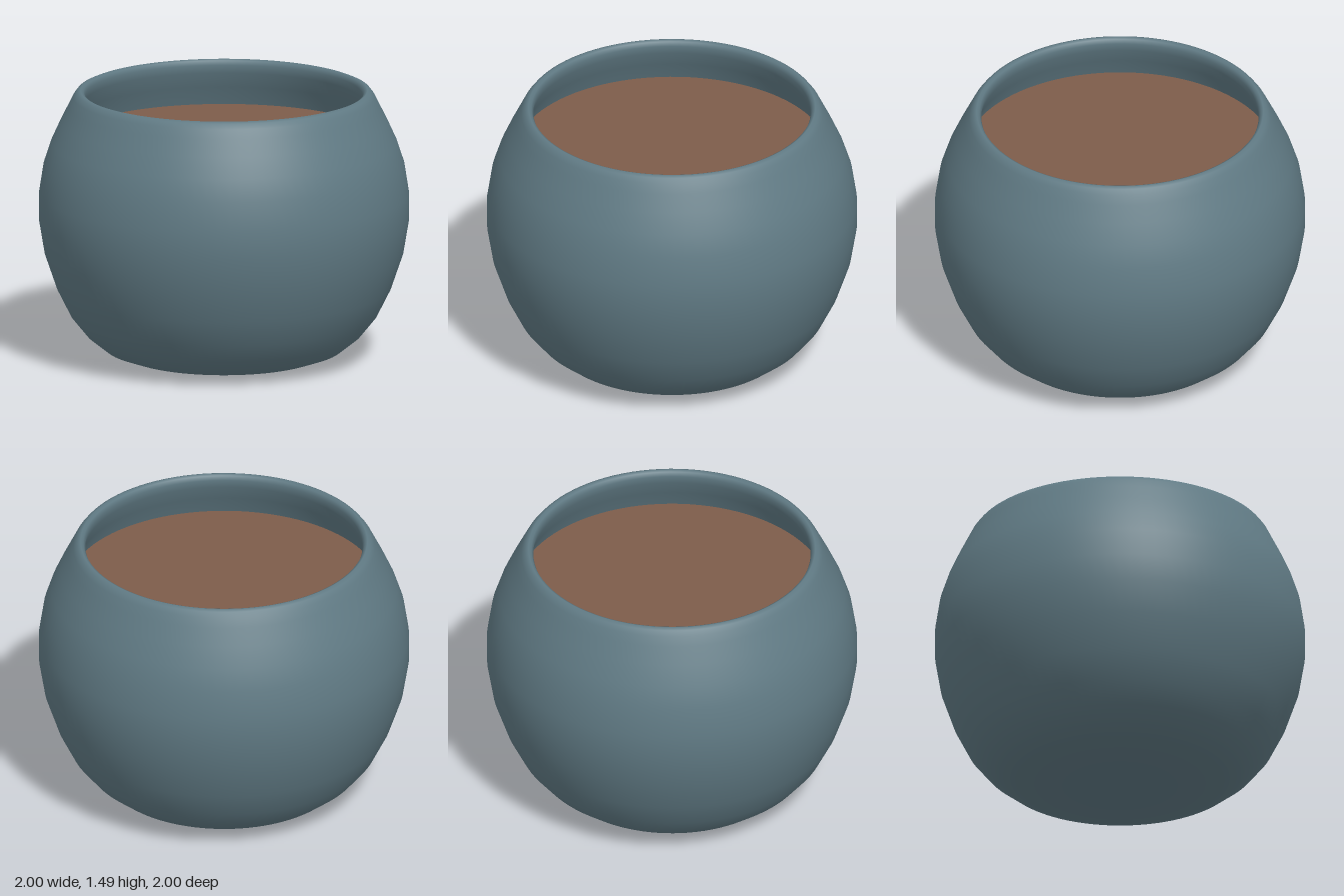
import * as THREE from 'three';

const SEGMENTS = 96;

function lathe(name, profile, color) {
  const points = profile.map(([r, y]) => new THREE.Vector2(r, y));
  const mesh = new THREE.Mesh(
    new THREE.LatheGeometry(points, SEGMENTS),
    new THREE.MeshStandardMaterial({ color })
  );
  mesh.name = name;
  return mesh;
}

export function createModel() {
  const group = new THREE.Group();
  group.name = 'plantPot';

  // Round pot: base, belly, rolled rim, then the inner wall down past the soil
  const outer = [
    [0, 0], [0.28, 0], [0.42, 0.007], [0.54, 0.027], [0.645, 0.065],
    [0.745, 0.145], [0.83, 0.25], [0.905, 0.4], [0.97, 0.59], [1, 0.77],
    [1, 0.92], [0.975, 1.08], [0.935, 1.2], [0.885, 1.31], [0.84, 1.4],
    [0.815, 1.45], [0.795, 1.476], [0.775, 1.485],
  ];
  const inner = [
    [0.76, 1.478], [0.75, 1.455], [0.757, 1.41], [0.79, 1.325],
    [0.84, 1.22], [0.875, 1.1],
  ];
  group.add(lathe('pot', [...outer, ...inner], 0x607a84));

  // Flat soil surface inside the pot
  const soil = new THREE.Mesh(
    new THREE.CircleGeometry(0.845, SEGMENTS),
    new THREE.MeshStandardMaterial({ color: 0x7d5c4a, side: THREE.DoubleSide })
  );
  soil.name = 'soil';
  soil.rotation.x = -Math.PI / 2;
  soil.position.y = 1.22;
  group.add(soil);

  return group;
}
